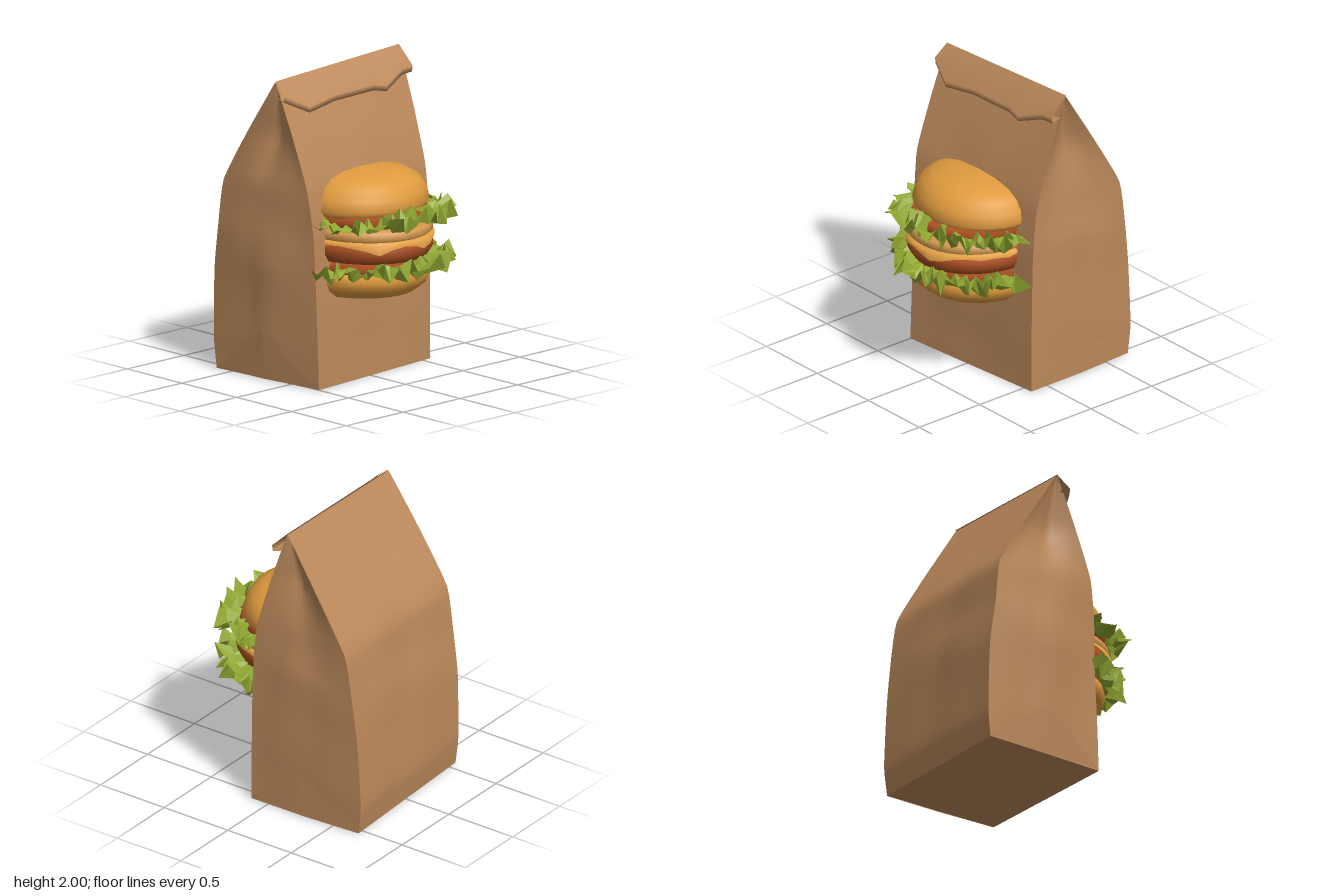
import * as THREE from 'three';

const mat = (name, color, extra = {}) => new THREE.MeshStandardMaterial({ name, color, ...extra });

// Small seeded generator, returning values in -1..1
function seeded(s) {
  return () => {
    s = (s * 16807) % 2147483647;
    return (s / 2147483647) * 2 - 1;
  };
}

// Surface through rows of points; each grid row has the same count
function gridSurface(rows) {
  const n = rows[0].length, pos = [], idx = [];
  rows.forEach(r => r.forEach(p => pos.push(p.x, p.y, p.z)));
  for (let j = 0; j < rows.length - 1; j++) {
    for (let i = 0; i < n - 1; i++) {
      const a = j * n + i, b = a + 1, c = a + n, d = c + 1;
      idx.push(a, b, d, a, d, c);
    }
  }
  const g = new THREE.BufferGeometry();
  g.setAttribute('position', new THREE.Float32BufferAttribute(pos, 3));
  g.setIndex(idx);
  g.computeVertexNormals();
  return g;
}

const V = (x, y, z) => new THREE.Vector3(x, y, z);
const points = list => list.map(p => V(...p));

// Paper panel spanned between upright columns, with soft wrinkles
function paperPanel(columns, wrinkleDir, phase, steps = 6) {
  const curves = columns.map(c => new THREE.CatmullRomCurve3(points(c), false, 'catmullrom', 0.25));
  const rows = [], nv = 24, nu = (columns.length - 1) * steps;
  for (let j = 0; j <= nv; j++) {
    const v = j / nv, row = [], at = curves.map(c => c.getPoint(v));
    for (let i = 0; i <= nu; i++) {
      const k = Math.min(Math.floor(i / steps), columns.length - 2);
      const u = i / nu, p = at[k].clone().lerp(at[k + 1], i / steps - k);
      const w = 0.012 * Math.sin(7 * u + 9 * v + phase) * Math.sin(5 * u - 13 * v) * Math.sin(Math.PI * u) * Math.sin(Math.PI * v);
      row.push(p.addScaledVector(wrinkleDir, w));
    }
    rows.push(row);
  }
  return gridSurface(rows);
}

// Upright corner folds and side gusset centres of the bag
const FL = [[-.5, 0, .23], [-.5, .3, .22], [-.5, .7, .2], [-.51, 1, .19], [-.53, 1.3, .15], [-.54, 1.62, .03], [-.55, 1.95, -.11]];
const FR = [[.57, 0, .13], [.57, .3, .13], [.57, .7, .125], [.57, 1, .115], [.57, 1.27, .085], [.57, 1.62, -.02], [.57, 1.99, -.15]];
const BR = [[.54, 0, -.69], [.545, .2, -.71], [.55, .65, -.685], [.56, .95, -.65], [.565, 1.25, -.6], [.57, 1.62, -.385], [.57, 1.99, -.155]];
const BL = [[-.57, 0, -.63], [-.575, .2, -.65], [-.58, .65, -.64], [-.585, .95, -.6], [-.575, 1.25, -.56], [-.565, 1.6, -.35], [-.55, 1.95, -.12]];
const SR = [[.56, 0, -.28], [.57, .3, -.26], [.58, .7, -.27], [.57, 1, -.27], [.545, 1.27, -.26], [.48, 1.62, -.2], [.55, 1.99, -.152]];
const SL = [[-.54, 0, -.2], [-.565, .3, -.2], [-.59, .7, -.2], [-.59, 1, -.2], [-.56, 1.28, -.19], [-.48, 1.6, -.15], [-.53, 1.95, -.115]];

function makeBag(paper) {
  const bag = new THREE.Group();
  bag.name = 'paperBag';
  const add = (name, g) => {
    const m = new THREE.Mesh(g, paper);
    m.name = name;
    bag.add(m);
  };
  add('frontPanel', paperPanel([FL, FR], V(0, 0, 1), 0, 12));
  add('rightPanel', paperPanel([FR, SR, BR], V(1, 0, 0), 1));
  add('backPanel', paperPanel([BR, BL], V(0, 0, -1), 2, 12));
  add('leftPanel', paperPanel([BL, SL, FL], V(-1, 0, 0), 3));
  add('bagBase', gridSurface([points([BL[0], BR[0]]), points([FL[0], FR[0]])]));

  // Triangular base folds lying on the sides
  add('sideFold', gridSurface([
    points([[.578, .005, .13], [.575, .005, -.28], [.55, .005, -.69]]),
    points([[.585, .33, -.23], [.59, .33, -.23], [.585, .33, -.23]])]));
  add('sideFold', gridSurface([
    points([[-.575, .005, -.63], [-.56, .005, -.2], [-.505, .005, .23]]),
    points([[-.585, .33, -.2], [-.59, .33, -.2], [-.585, .33, -.2]])]));

  // Rolled-over top flap with an uneven lower edge
  const edge = [[-.56, 1.84], [-.39, 1.755], [-.15, 1.785], [.2, 1.79], [.3, 1.77], [.48, 1.835], [.575, 1.84]];
  const flap = [[], [], [], []];
  edge.forEach(([x, y]) => {
    const t = (x + .56) / 1.135;
    const top = V(THREE.MathUtils.lerp(-.55, .57, t), 1.96 + .04 * t, -.115 - .04 * t);
    const zTip = top.z + (top.y - y) * .72;
    flap[0].push(V(x, y + .02, zTip - .06));
    flap[1].push(V(x, y, zTip));
    flap[2].push(V(x, y + .04, zTip + .005));
    flap[3].push(top);
  });
  add('topFlap', gridSurface(flap));
  return bag;
}

// Half-round layer; profile holds [radius, height] from bottom to top
function halfLayer(name, profile, width, depth, material) {
  const pts = profile.map(p => new THREE.Vector2(...p));
  const m = new THREE.Mesh(new THREE.LatheGeometry(pts, 20, -Math.PI / 2, Math.PI), material);
  m.name = name;
  m.scale.set(width, 1, depth);
  m.position.set(.01, 0, .1);
  return m;
}

// Ragged, crumpled leaf ribbon running around the filling
function lettuce(name, seed, height, droop, material) {
  const rnd = seeded(seed), n = 34, rows = [];
  const radii = [.33, .45, .5, .58];
  radii.forEach((r, j) => {
    const row = [];
    for (let i = 0; i <= n; i++) {
      const a = (i / n - .5) * Math.PI * .96;
      const fold = (i % 2 ? 1 : -1) * [0, .025, -.03, .035][j];
      const rr = r + rnd() * (j ? .04 : .01) - (j === 3 && i % 3 === 0 ? .06 : 0);
      const y = height + fold + rnd() * (j ? .042 : .01) - droop * Math.abs(Math.sin(a)) - (j === 2 ? .03 : 0);
      const aa = a + rnd() * .035;
      row.push(V(.012 + Math.sin(aa) * rr * .97, y, .13 + Math.cos(aa) * rr * .93));
    }
    rows.push(row);
  });
  const m = new THREE.Mesh(gridSurface(rows), material);
  m.name = name;
  return m;
}

// Cheese slice edge with drooping points
function cheeseSkirt(material) {
  const drops = [.93, .925, .93, .92, .905, .875, .91, .925, .915, .885, .9, .925, .93, .92, .925, .915, .93];
  const ring = (r, yAt) => drops.map((d, i) => {
    const a = (i / (drops.length - 1) - .5) * Math.PI;
    return V(.01 + Math.sin(a) * r, yAt(d), .1 + Math.cos(a) * r * 1.13);
  });
  const m = new THREE.Mesh(gridSurface([ring(.427, d => d), ring(.425, () => .95), ring(.36, () => .962)]), material);
  m.name = 'cheeseSlice';
  return m;
}

export function createModel() {
  const paper = mat('brown paper', 0xbd8a5c, { side: THREE.DoubleSide });
  const bread = mat('toasted bun', 0xe09b3f);
  const crumb = mat('bun slice', 0xd7994f);
  const meat = mat('patty', 0xac5022);
  const cheese = mat('cheese', 0xe3a045, { side: THREE.DoubleSide });
  const leaf = mat('lettuce green', 0x93aa32, { side: THREE.DoubleSide, flatShading: true });

  const model = new THREE.Group();
  model.name = 'burgerBag';
  model.add(makeBag(paper));

  const burger = new THREE.Group();
  burger.name = 'burger';
  burger.add(
    halfLayer('bottomBun', [[0, .55], [.6, .55], [.8, .57], [.95, .62], [1, .68], [.97, .73], [0, .74]], .42, .43, bread),
    halfLayer('tomatoLayer', [[0, .73], [.9, .73], [.96, .76], [.9, .8], [0, .8]], .41, .44, meat),
    lettuce('lowerLettuce', 4211, .79, .02, leaf),
    halfLayer('lowerPatty', [[0, .8], [.93, .81], [1, .86], [1, .91], [.94, .95], [0, .95]], .42, .47, meat),
    cheeseSkirt(cheese),
    halfLayer('middleBun', [[0, .94], [.94, .945], [1, .97], [.98, 1.01], [.9, 1.03], [0, 1.03]], .42, .47, crumb),
    halfLayer('upperPatty', [[0, 1.03], [.94, 1.035], [1, 1.07], [.95, 1.11], [0, 1.12]], .41, .45, meat),
    lettuce('upperLettuce', 9127, 1.11, .045, leaf),
    halfLayer('topBun', [[0, 1.09], [.93, 1.1], [1, 1.14], [.96, 1.21], [.86, 1.275], [.68, 1.32], [.4, 1.347], [0, 1.355]], .44, .4, bread)
  );
  model.add(burger);
  return model;
}
